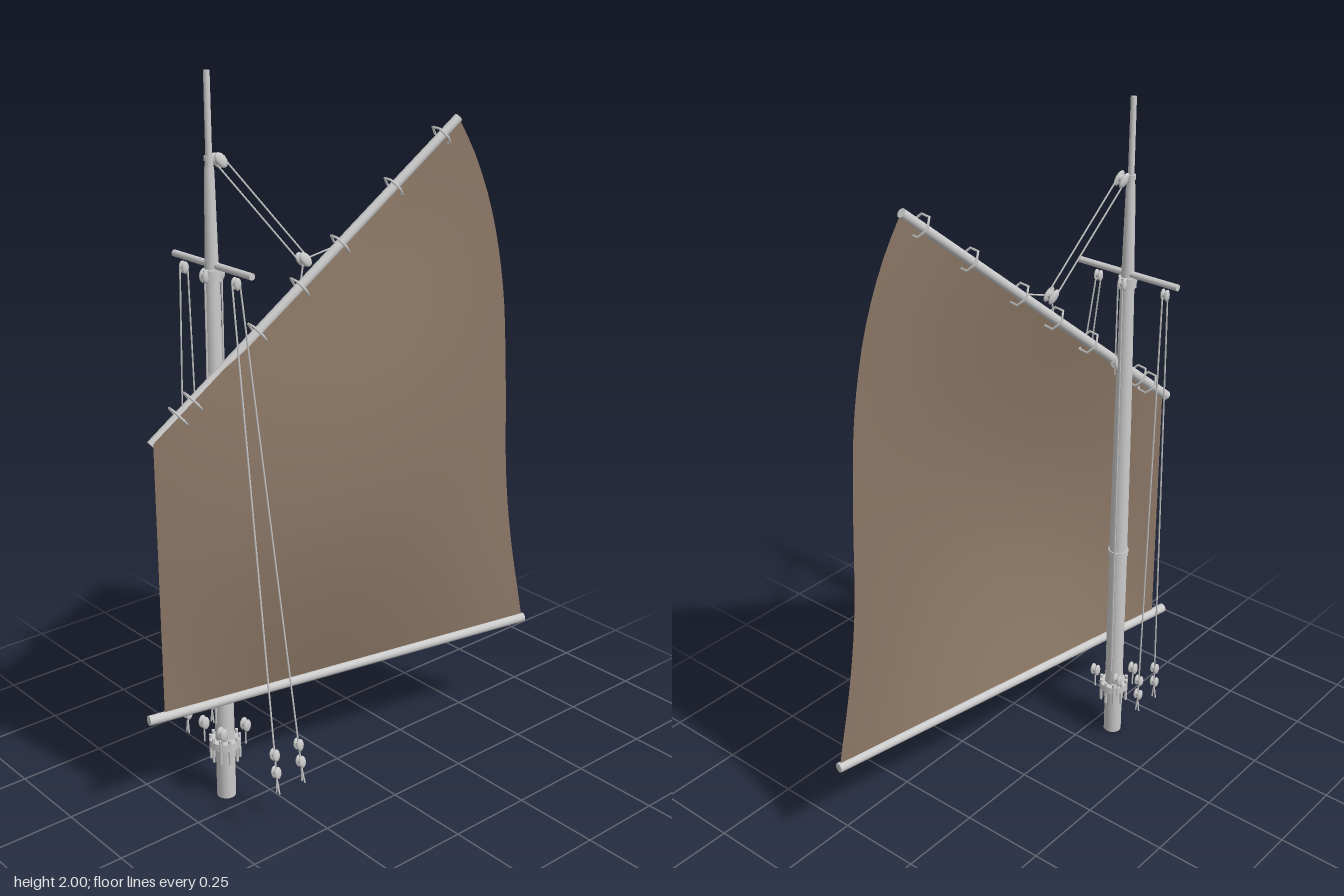
import * as THREE from 'three';

const grey = new THREE.MeshStandardMaterial({ color: 0xcccccc, side: THREE.DoubleSide });
const canvas = new THREE.MeshStandardMaterial({ color: 0x8b7765, side: THREE.DoubleSide });
const V = (x, y, z) => new THREE.Vector3(x, y, z);
const UP = V(0, 1, 0);
const MX = -0.065, MZ = 0.355; // mast axis

export function createModel() {
  const model = new THREE.Group();

  const add = (name, geometry, pos, material = grey) => {
    const mesh = new THREE.Mesh(geometry, material);
    mesh.name = name;
    if (pos) mesh.position.copy(pos);
    model.add(mesh);
    return mesh;
  };
  // Round bar between two points
  const bar = (name, a, b, r0, r1 = r0, sides = 12) => {
    const d = b.clone().sub(a);
    const mesh = add(name, new THREE.CylinderGeometry(r1, r0, d.length(), sides), a.clone().lerp(b, 0.5));
    mesh.quaternion.setFromUnitVectors(UP, d.normalize());
    return mesh;
  };
  const rope = (name, a, b) => bar(name, a, b, 0.0025, 0.0025, 5);
  // Pulley block: two flat cheeks with a sheave between them
  const block = (name, pos, dir = UP, s = 1) => {
    const g = new THREE.Group();
    g.name = name;
    for (const side of [-1, 1]) {
      const cheek = new THREE.Mesh(new THREE.SphereGeometry(0.018, 10, 6), grey);
      cheek.scale.set(0.38, 1.15, 0.75);
      cheek.position.x = side * 0.008;
      g.add(cheek);
    }
    const sheave = new THREE.Mesh(new THREE.CylinderGeometry(0.01, 0.01, 0.018, 10), grey);
    sheave.rotation.z = Math.PI / 2;
    g.add(sheave);
    g.position.copy(pos);
    g.quaternion.setFromUnitVectors(UP, dir.clone().normalize());
    g.scale.setScalar(s);
    model.add(g);
  };

  // Mast with its stepped topmast
  const profile = [[0, 0], [0.027, 0], [0.027, 0.6], [0.024, 1.1], [0.019, 1.5], [0.017, 1.55],
    [0.013, 1.76], [0.0085, 1.79], [0.008, 2], [0, 2]].map(p => new THREE.Vector2(...p));
  const mast = add('mast', new THREE.LatheGeometry(profile, 16), V(MX, 0, MZ));
  mast.geometry.computeVertexNormals();

  // Mast bands
  for (const [y, r, h] of [[0.65, 0.03, 0.018], [1.5, 0.025, 0.03], [1.79, 0.013, 0.012]])
    add('mastBand', new THREE.CylinderGeometry(r, r, h, 16), V(MX, y, MZ));

  // Pin rail round the foot of the mast, with belaying pins
  add('pinRail', new THREE.CylinderGeometry(0.044, 0.044, 0.022, 16), V(MX, 0.17, MZ));
  add('pinRailCollar', new THREE.CylinderGeometry(0.033, 0.03, 0.04, 16), V(MX, 0.145, MZ));
  for (let i = 0; i < 10; i++) {
    const a = (i + 0.5) / 10 * Math.PI * 2;
    add('belayingPin', new THREE.CylinderGeometry(0.005, 0.004, 0.075, 6),
      V(MX + 0.04 * Math.cos(a), 0.155, MZ + 0.04 * Math.sin(a)));
  }

  // Boom, gaff and signal yard
  bar('boom', V(-0.068, 0.325, 0.6), V(0.158, 0.325, -0.6), 0.014);
  const gaffLow = V(-0.075, 1.09, 0.55), gaffTop = V(0.105, 1.84, -0.325);
  const gaffDir = gaffTop.clone().sub(gaffLow).normalize();
  bar('gaff', gaffLow, gaffTop, 0.0145, 0.0125);
  bar('yard', V(-0.23, 1.525, 0.352), V(0.095, 1.525, 0.352), 0.009);

  // Hoops lashing the sail to the gaff
  for (const z of [0.475, 0.435, 0.255, 0.135, 0.02, -0.135, -0.275]) {
    const p = gaffLow.clone().lerp(gaffTop, (gaffLow.z - z) / (gaffLow.z - gaffTop.z));
    const hoop = add('gaffHoop', new THREE.TorusGeometry(0.032, 0.0035, 5, 6), p);
    hoop.up.copy(UP);
    hoop.lookAt(p.clone().add(gaffDir));
  }

  // Sail: straight luff, curved leech, bellied to the left
  const leech = new THREE.CatmullRomCurve3([[0.335, -0.595], [0.6, -0.545], [0.8, -0.52], [1.1, -0.505],
    [1.36, -0.485], [1.58, -0.44], [1.74, -0.38], [1.835, -0.328]].map(([y, z]) => V(0, y, z)));
  const sail = new THREE.PlaneGeometry(1, 1, 24, 28);
  const uv = sail.attributes.uv, pos = sail.attributes.position;
  for (let i = 0; i < pos.count; i++) {
    const u = uv.getX(i), v = uv.getY(i);
    const end = leech.getPointAt(v);
    const z = THREE.MathUtils.lerp(0.555, end.z, u);
    const y = THREE.MathUtils.lerp(0.335 + 0.765 * v, end.y, u);
    const belly = 0.08 * Math.sin(Math.PI * u) * Math.sin(Math.PI * v);
    pos.setXYZ(i, 0.045 - 0.187 * z + belly, y, z);
  }
  sail.computeVertexNormals();
  add('sail', sail, null, canvas);

  // Signal halyards: a pair hanging from each arm of the yard
  for (const [topX, footX] of [[-0.19, -0.19], [0.03, 0.212]]) {
    block('yardBlock', V(topX, 1.495, 0.352), UP, 0.8);
    for (const s of [-1, 1]) {
      const a = V(topX, 1.49, 0.352 + s * 0.012), b = V(footX, 0.2, 0.35 + s * 0.042);
      rope('halyard', a, b);
      const dir = a.clone().sub(b).normalize();
      for (const d of [0.015, 0.065]) block('halyardBlock', b.clone().addScaledVector(dir, d), dir, 0.85);
      for (const e of [-0.006, 0.006])
        rope('halyardTail', b.clone(), b.clone().addScaledVector(dir, -0.045).add(V(e, 0, 0)));
    }
  }

  // Throat tackles running down beside the mast
  for (const s of [-1, 1]) {
    const top = V(MX, 1.5, MZ + s * 0.022), foot = V(MX + s * 0.02, 0.25, MZ + s * 0.043);
    block('throatBlock', top, UP, 0.9);
    rope('throatRope', top, foot);
    for (const x of [-1, 1]) {
      const p = V(MX + x * 0.042, 0.225, MZ + s * 0.04);
      block('footBlock', p, UP, 0.95);
      rope('footBlockTail', p, p.clone().add(V(0, -0.06, 0)));
    }
  }
  block('throatBlock', V(-0.045, 1.26, 0.34), UP, 0.9);
  rope('throatRope', V(-0.045, 1.49, 0.34), V(-0.04, 1.22, 0.345));

  // Peak tackle from the topmast to the gaff
  const high = V(-0.05, 1.785, 0.335), low = V(0.008, 1.515, 0.12);
  const pull = high.clone().sub(low).normalize();
  block('peakBlock', high, pull, 1.1);
  block('peakBlock', low, pull, 1.1);
  for (const s of [-1, 1]) {
    const off = V(s * 0.006, s * 0.007, -s * 0.007);
    rope('peakRope', high.clone().add(off), low.clone().add(off));
  }
  for (const z of [0.135, 0.02])
    rope('peakBridle', low, gaffLow.clone().lerp(gaffTop, (gaffLow.z - z) / (gaffLow.z - gaffTop.z)));

  return model;
}
